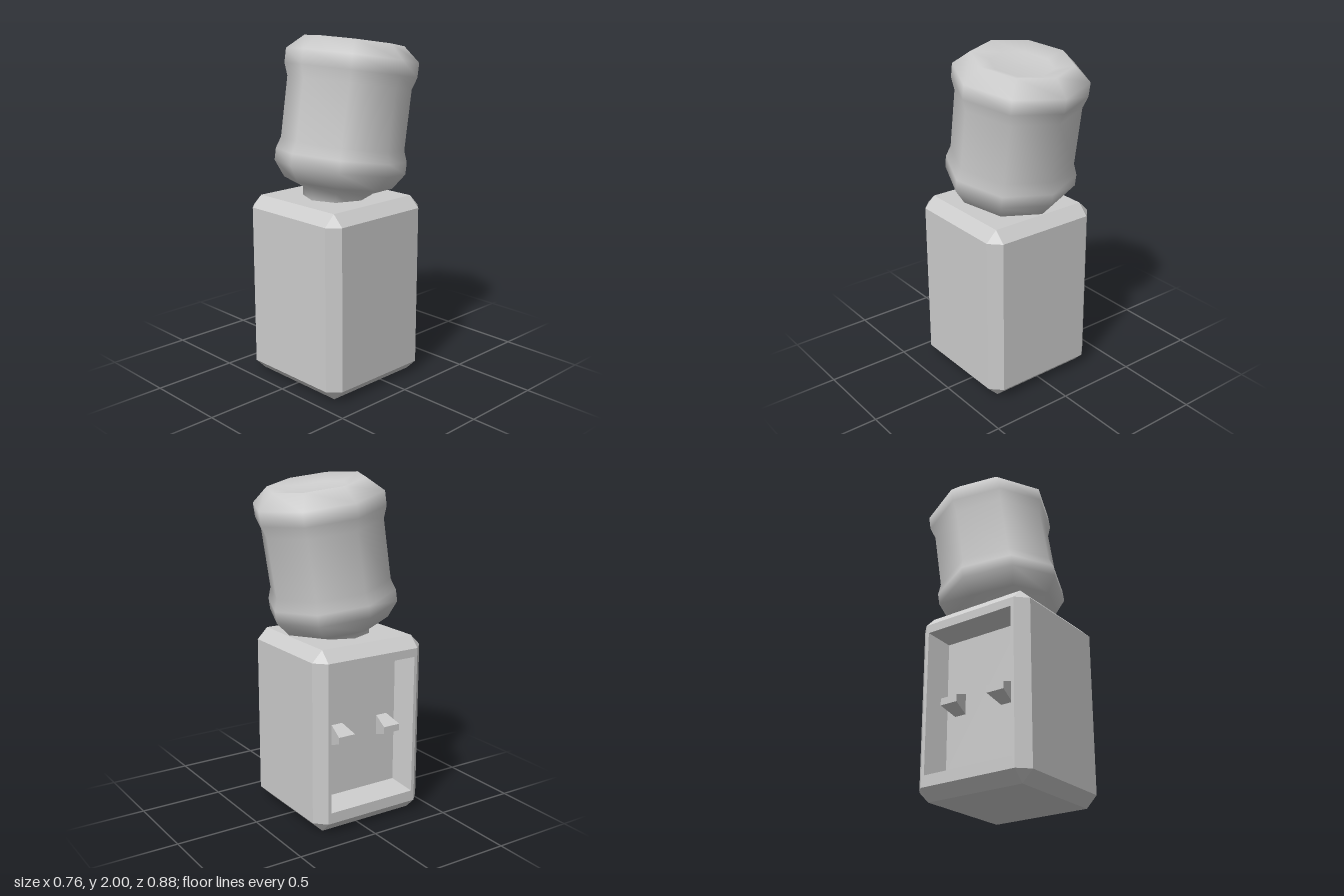
import * as THREE from 'three';
import { ConvexGeometry } from 'three/addons/geometries/ConvexGeometry.js';

const material = new THREE.MeshStandardMaterial({ color: 0xcccccc });

function addMesh(parent, geometry, name) {
  const mesh = new THREE.Mesh(geometry, material);
  mesh.name = name;
  parent.add(mesh);
  return mesh;
}

// Rectangle in a plane of constant x, counter-clockwise as seen from -x
const rect = (x, y0, y1, z0, z1) => [[x, y0, z0], [x, y0, z1], [x, y1, z1], [x, y1, z0]];

// Flat-shaded quads between successive rectangles, with the last one capped
function loft(rings) {
  const positions = [];
  const quad = (a, b, c, d) => positions.push(...a, ...b, ...c, ...a, ...c, ...d);
  for (let r = 0; r < rings.length - 1; r++) {
    const [a, b] = [rings[r], rings[r + 1]];
    for (let i = 0; i < 4; i++) quad(a[i], a[(i + 1) % 4], b[(i + 1) % 4], b[i]);
  }
  quad(...rings[rings.length - 1]);
  const geometry = new THREE.BufferGeometry();
  geometry.setAttribute('position', new THREE.Float32BufferAttribute(positions, 3));
  geometry.computeVertexNormals();
  return geometry;
}

// Box with chamfered edges and corners, left open on its -x face
function openChamferedBox(half, bevel) {
  const points = [];
  for (const sx of [-1, 1]) for (const sy of [-1, 1]) for (const sz of [-1, 1]) {
    for (let axis = 0; axis < 3; axis++) {
      const p = half.map((h, i) => (i === axis ? h : h - bevel));
      points.push(new THREE.Vector3(sx * p[0], sy * p[1], sz * p[2]));
    }
  }
  const hull = new ConvexGeometry(points);
  const pos = hull.getAttribute('position');
  const normal = hull.getAttribute('normal');
  const kept = [];
  for (let i = 0; i < pos.count; i += 3) {
    if (normal.getX(i) < -0.99) continue;
    for (let k = i; k < i + 3; k++) kept.push(pos.getX(k), pos.getY(k), pos.getZ(k));
  }
  const geometry = new THREE.BufferGeometry();
  geometry.setAttribute('position', new THREE.Float32BufferAttribute(kept, 3));
  geometry.computeVertexNormals();
  return geometry;
}

export function createModel() {
  const model = new THREE.Group();
  model.name = 'waterCooler';

  // Cabinet
  const half = [0.37, 0.54, 0.37];
  const bevel = 0.065;
  const zMid = 0.07;
  addMesh(model, openChamferedBox(half, bevel), 'cabinet').position.set(0, half[1], zMid);

  // Side panel with a tapered dispensing recess
  const flat = half[2] - bevel;
  addMesh(model, loft([
    rect(-0.37, bevel, 1.08 - bevel, zMid - flat, zMid + flat),
    rect(-0.37, 0.13, 0.965, zMid - 0.285, zMid + 0.285),
    rect(-0.23, 0.168, 0.93, zMid - 0.25, zMid + 0.25),
  ]), 'dispenserRecess');

  // Two taps, flat and wide at the tip
  for (const side of [-1, 1]) {
    const z = zMid + side * 0.157;
    addMesh(model, loft([
      rect(-0.23, 0.48, 0.6, z - 0.036, z + 0.036),
      rect(-0.335, 0.52, 0.56, z - 0.055, z + 0.055),
    ]), side < 0 ? 'rearTap' : 'frontTap');
  }

  // Tilted eight-sided bottle, from the neck up to its dished base
  const profile = [
    [0.19, -0.95], [0.2, -0.86], [0.315, -0.815], [0.38, -0.725], [0.38, -0.655],
    [0.357, -0.588], [0.357, -0.238], [0.381, -0.167], [0.381, -0.083],
    [0.286, 0], [0.18, -0.033], [0, -0.035],
  ].map(([r, h]) => new THREE.Vector2(r, h));
  const bottle = addMesh(model, new THREE.LatheGeometry(profile, 8), 'bottle');
  bottle.position.set(0, 1.955, -0.08);
  bottle.rotation.x = -0.158;

  return model;
}
